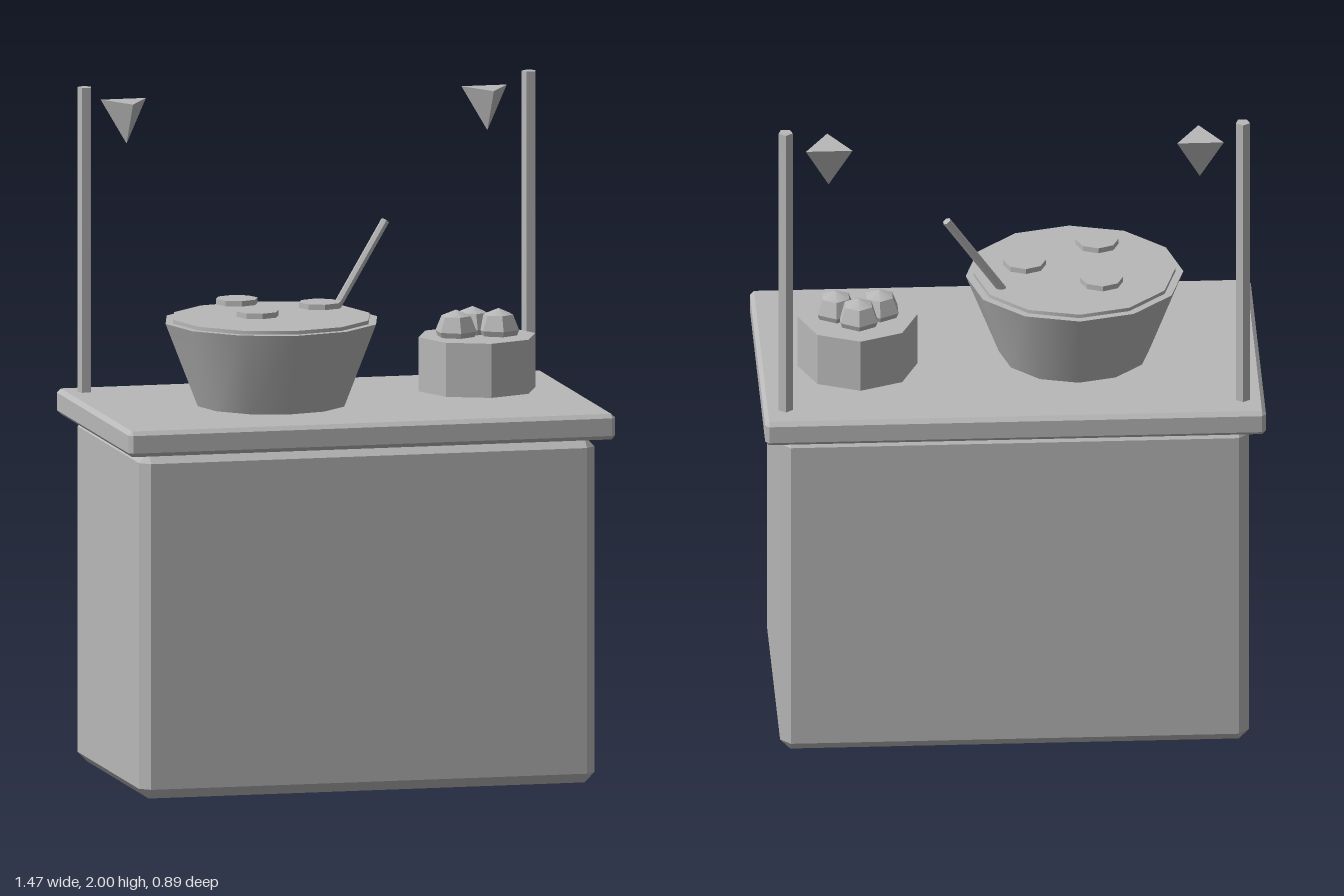
import * as THREE from 'three';
import { toCreasedNormals } from 'three/addons/utils/BufferGeometryUtils.js';
import { ConvexGeometry } from 'three/addons/geometries/ConvexGeometry.js';

export function createModel() {
  const model = new THREE.Group();
  model.name = 'foodStall';
  const grey = new THREE.MeshStandardMaterial({ color: 0xb8b8b8 });
  grey.name = 'plain grey';

  function add(name, geometry, x, y, z, parent = model) {
    const mesh = new THREE.Mesh(toCreasedNormals(geometry, 0.6), grey);
    mesh.name = name;
    mesh.position.set(x, y, z);
    parent.add(mesh);
    return mesh;
  }

  // Box with a single flat bevel c along every edge
  function bevelledBox(w, h, d, c) {
    const points = [];
    for (const sx of [-1, 1]) for (const sy of [-1, 1]) for (const sz of [-1, 1]) {
      for (let axis = 0; axis < 3; axis++) {
        const inset = [0, 1, 2].map((i) => (i === axis ? 0 : c));
        points.push(new THREE.Vector3(
          sx * (w / 2 - inset[0]), sy * (h / 2 - inset[1]), sz * (d / 2 - inset[2])));
      }
    }
    return new ConvexGeometry(points);
  }

  // Cabinet and countertop
  add('cabinet', bevelledBox(1.374, 1.024, 0.804, 0.03), 0, 0.512, 0);
  add('countertop', bevelledBox(1.468, 0.076, 0.894, 0.012), 0, 1.06, 0);

  // Rear poles and hanging pennants, mirrored
  for (const [side, s] of [['left', 1], ['right', -1]]) {
    const pole = new THREE.CylinderGeometry(0.022, 0.022, 0.91, 5).rotateY(Math.PI);
    add(side + 'Pole', pole, s * 0.67, 1.545, -0.353);
    add(side + 'Pennant', new THREE.CylinderGeometry(0.079, 0, 0.127, 3), s * 0.544, 1.8915, -0.353);
  }

  // Large bowl with its filling and three floating slices
  const bowl = new THREE.Group();
  bowl.name = 'bowl';
  bowl.position.set(-0.195, 0, 0);
  model.add(bowl);
  add('bowlBody', new THREE.CylinderGeometry(0.319, 0.222, 0.247, 12), 0, 1.2215, 0, bowl);
  add('bowlFilling', new THREE.CylinderGeometry(0.296, 0.296, 0.02, 12), 0, 1.346, 0, bowl);
  for (let i = 0; i < 3; i++) {
    const a = (i * Math.PI * 2) / 3;
    add('slice', new THREE.CylinderGeometry(0.063, 0.063, 0.016, 8),
      0.146 * Math.cos(a), 1.386, 0.146 * Math.sin(a), bowl);
  }

  // Ladle handle leaning out of the bowl
  const low = new THREE.Vector3(-0.005, 1.31, -0.096);
  const high = new THREE.Vector3(0.188, 1.603, -0.158);
  const axis = high.clone().sub(low);
  const mid = low.clone().add(high).multiplyScalar(0.5);
  const handle = add('ladleHandle',
    new THREE.CylinderGeometry(0.013, 0.013, axis.length(), 6), mid.x, mid.y, mid.z);
  handle.quaternion.setFromUnitVectors(new THREE.Vector3(0, 1, 0), axis.normalize());

  // Small tub holding three balls
  add('tub', new THREE.CylinderGeometry(0.176, 0.176, 0.16, 8), 0.445, 1.185, -0.081);
  for (const [x, z] of [[0.381, -0.076], [0.509, -0.076], [0.445, -0.133]]) {
    add('ball', new THREE.SphereGeometry(0.063, 6, 4).rotateY(Math.PI / 6), x, 1.281, z);
  }

  return model;
}
